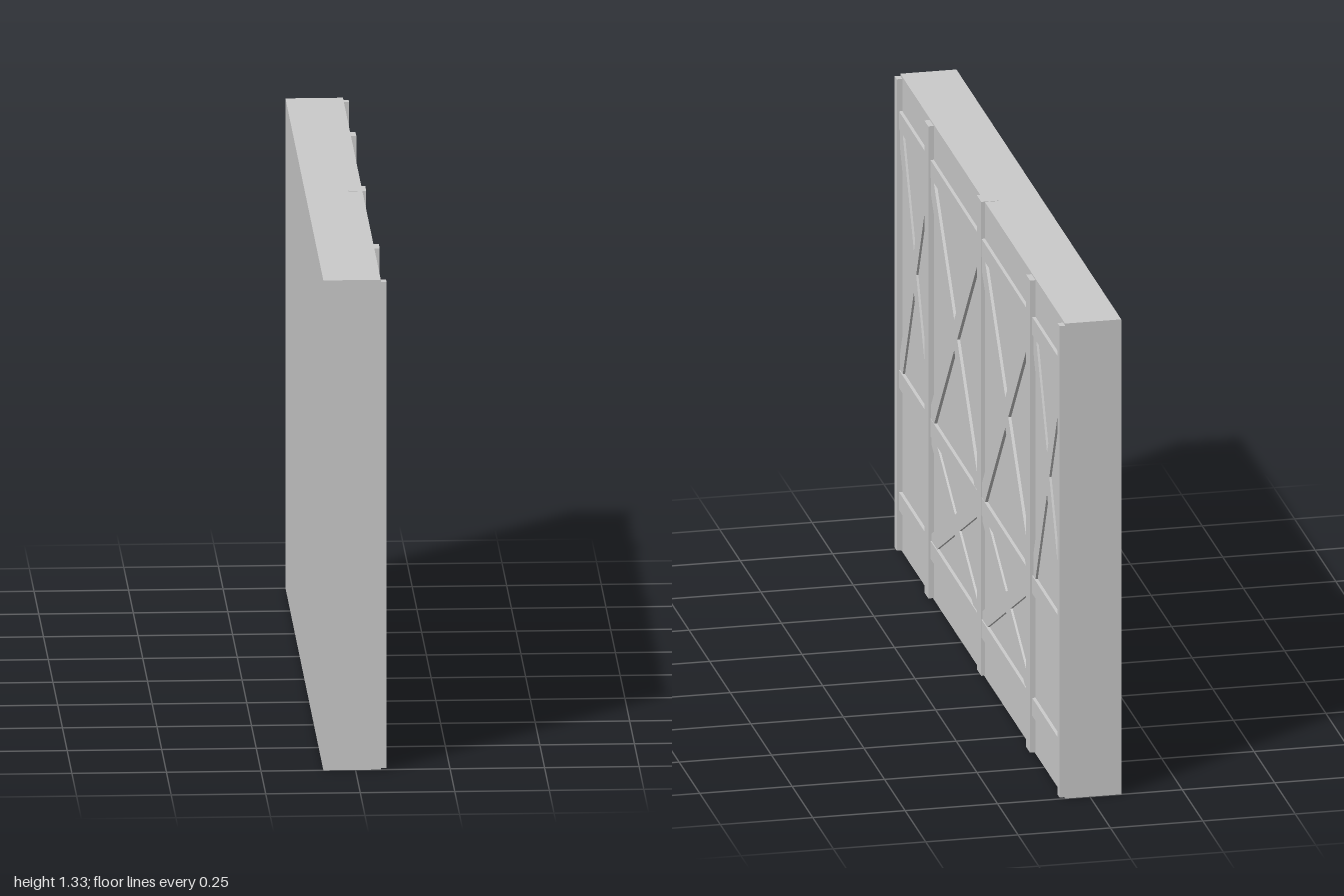
import * as THREE from 'three';

export function createModel() {
  const group = new THREE.Group();
  const mat = new THREE.MeshStandardMaterial({ color: 0xcccccc, flatShading: true });
  const BACK = -0.085, FACE = 0.067, H = 1.333;

  // A straight timber on the +x face, from (z1, y1) to (z2, y2), its front at x
  function timber(name, z1, y1, z2, y2, width, x, root = 0.04) {
    const length = Math.hypot(z2 - z1, y2 - y1);
    const mesh = new THREE.Mesh(new THREE.BoxGeometry(x - root, width, length), mat);
    mesh.name = name;
    mesh.position.set((x + root) / 2, (y1 + y2) / 2, (z1 + z2) / 2);
    mesh.rotation.x = -Math.atan2(y2 - y1, z2 - z1);
    group.add(mesh);
  }

  // Two crossed braces filling a panel from corner to corner
  function cross(name, z1, z2, y1, y2, width, x) {
    timber(name, z1, y1, z2, y2, width, x);
    timber(name, z1, y2, z2, y1, width, x);
  }

  // Wall slab
  const wall = new THREE.Mesh(new THREE.BoxGeometry(FACE - BACK, H, 2), mat);
  wall.name = 'wall';
  wall.position.set((FACE + BACK) / 2, H / 2, 0);
  group.add(wall);

  // Upright posts
  timber('centrePost', 0, 0.004, 0, H + 0.001, 0.054, 0.077, 0.03);
  for (const s of [1, -1]) {
    timber('innerPost', s * 0.617, 0.004, s * 0.617, 1.329, 0.048, 0.082);
    timber('endPost', s * 0.9875, 0.004, s * 0.9875, 1.327, 0.025, 0.082);
  }

  // Horizontal rails, dropping slightly towards -z
  const rails = { bottomRail: 0.143, middleRail: 0.486, topRail: 1.212 };
  for (const [name, y] of Object.entries(rails)) {
    timber(name, 0.999, y, -0.999, y - 0.013, 0.05, 0.076);
  }

  // Crossed braces
  for (const s of [1, -1]) {
    cross('upperBrace', s * 0.025, s * 0.595, 0.5, 1.184, 0.055, 0.075);
    cross('lowerBrace', s * 0.022, s * 0.597, 0.155, 0.465, 0.05, 0.073);
    cross('sideBrace', s * 0.64, s * 0.975, 0.5, 1.19, 0.05, 0.073);
  }

  return group;
}
